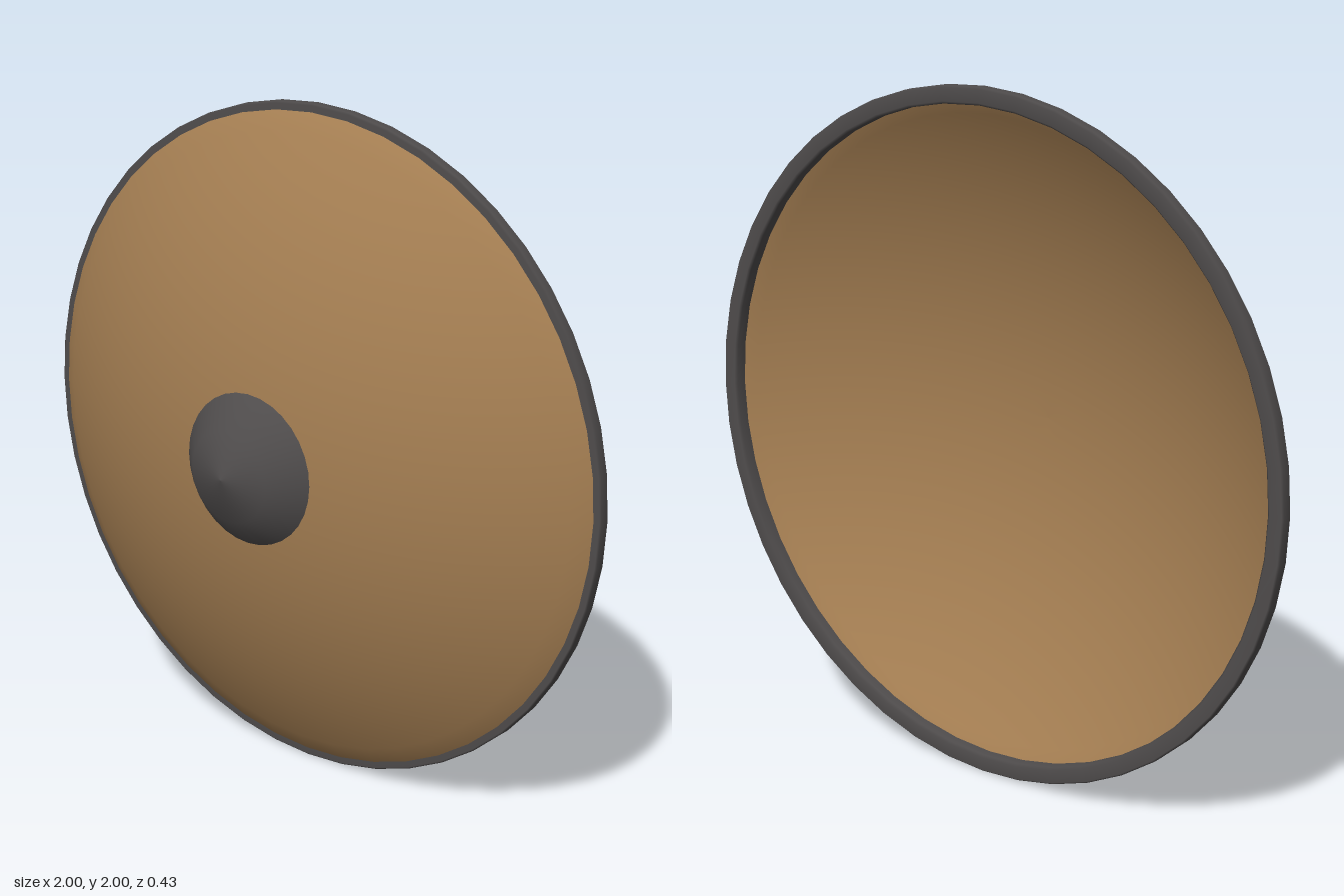
import * as THREE from 'three';

const SEGMENTS = 48;
const CURVE = 1.8; // radius of the dome's arc
const APEX = 0.11; // z of the dome's front apex

// Revolve [radius, z] points around the z axis
function revolve(name, points, material, segments = SEGMENTS) {
  const profile = points.map(([r, z]) => new THREE.Vector2(r, z));
  const geometry = new THREE.LatheGeometry(profile, segments);
  geometry.rotateX(Math.PI / 2);
  const mesh = new THREE.Mesh(geometry, material);
  mesh.name = name;
  return mesh;
}

// Points along a spherical cap, from the centre out to the edge
function cap(apex, edge, steps) {
  const points = [];
  for (let i = 0; i <= steps; i++) {
    const r = (edge * i) / steps;
    points.push([r, apex - CURVE + Math.sqrt(CURVE * CURVE - r * r)]);
  }
  return points;
}

export function createModel() {
  const wood = new THREE.MeshStandardMaterial({ color: 0xa47e52 });
  wood.name = 'tan wood';
  const iron = new THREE.MeshStandardMaterial({ color: 0x4f4c4c });
  iron.name = 'dark iron';

  const shield = new THREE.Group();
  shield.name = 'roundShield';

  // Thin domed body: back face outwards, then front face back to the centre
  const back = cap(APEX - 0.012, 0.98, 16);
  const front = cap(APEX, 0.985, 16).reverse();
  shield.add(revolve('domedBody', [...back, ...front], wood));

  // Metal band around the edge
  shield.add(revolve('rim', [
    [0.95, -0.178], [0.95, -0.208], [0.957, -0.215], [0.995, -0.215],
    [1, -0.21], [1, -0.182], [0.995, -0.178], [0.95, -0.178],
  ], iron));

  // Central boss with a blunt point
  shield.add(revolve('boss', [[0.235, 0.085], [0.135, 0.18], [0, 0.215]], iron, 32));

  shield.position.y = 1;
  const model = new THREE.Group();
  model.name = 'shieldModel';
  model.add(shield);
  return model;
}
